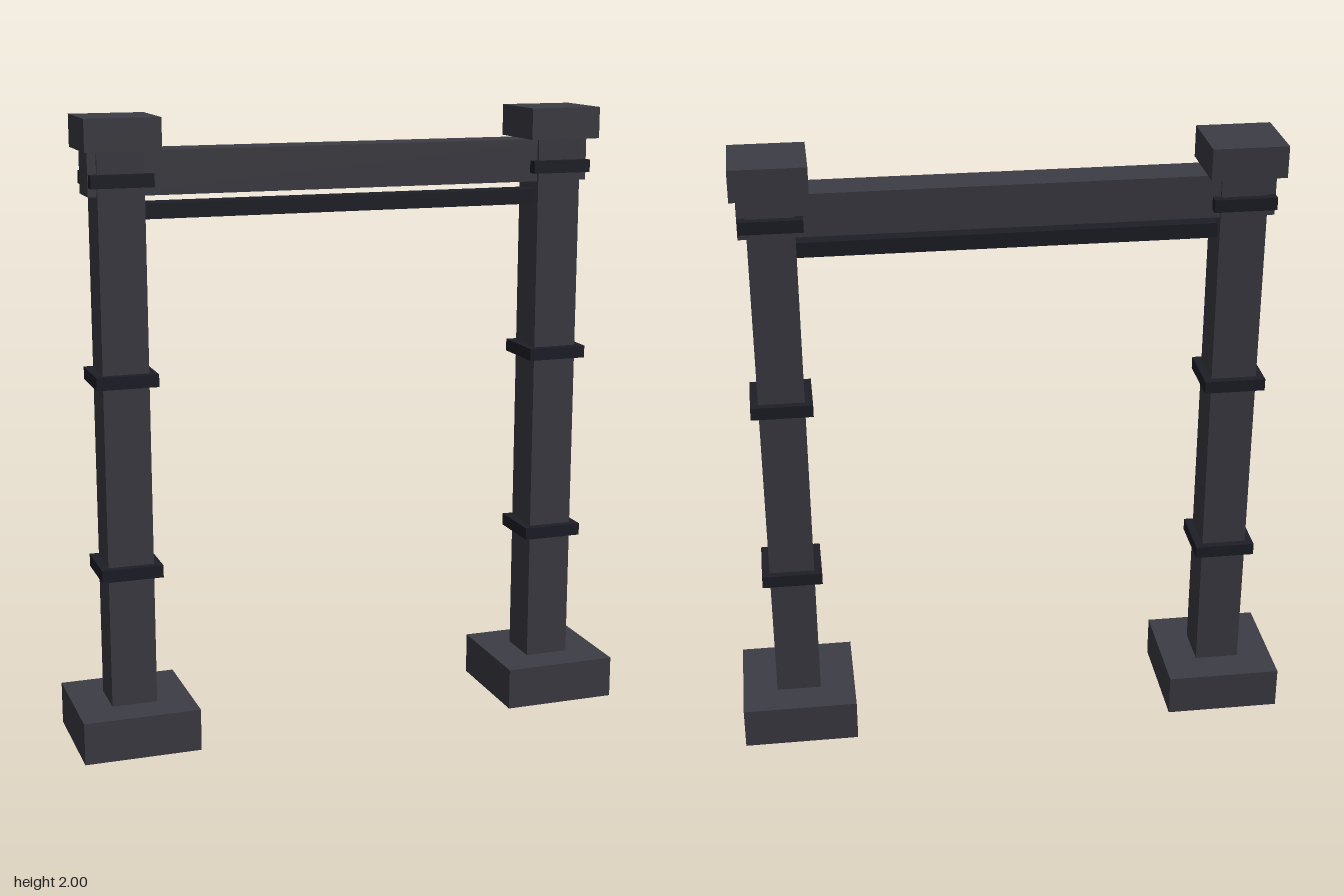
import * as THREE from 'three';

export function createModel() {
  const model = new THREE.Group();
  model.name = 'gateway';
  const stone = new THREE.MeshStandardMaterial({ color: 0x3d3d45, flatShading: true });
  const iron = new THREE.MeshStandardMaterial({ color: 0x1e1e28, flatShading: true });

  // Box standing on height y0 and reaching y1
  function block(parent, name, width, depth, y0, y1, material) {
    const mesh = new THREE.Mesh(new THREE.BoxGeometry(width, y1 - y0, depth), material);
    mesh.position.y = (y0 + y1) / 2;
    mesh.name = name;
    parent.add(mesh);
  }

  // Two matching posts with base, shaft, cap and metal bands
  for (const side of [-1, 1]) {
    const post = new THREE.Group();
    post.name = side > 0 ? 'leftPost' : 'rightPost';
    post.position.x = side * 0.724;
    block(post, 'base', 0.376, 0.376, 0, 0.137, stone);
    block(post, 'shaft', 0.146, 0.146, 0.137, 1.9, stone);
    block(post, 'cap', 0.236, 0.236, 1.9, 2, stone);
    for (const y of [0.58, 1.195, 1.81]) {
      block(post, 'band', 0.196, 0.196, y - 0.02, y + 0.02, iron);
    }
    model.add(post);
  }

  // Lintel passing through both posts, with a thin rail below it
  block(model, 'lintel', 1.648, 0.125, 1.762, 1.898, stone);
  block(model, 'rail', 1.32, 0.08, 1.687, 1.735, iron);

  return model;
}
